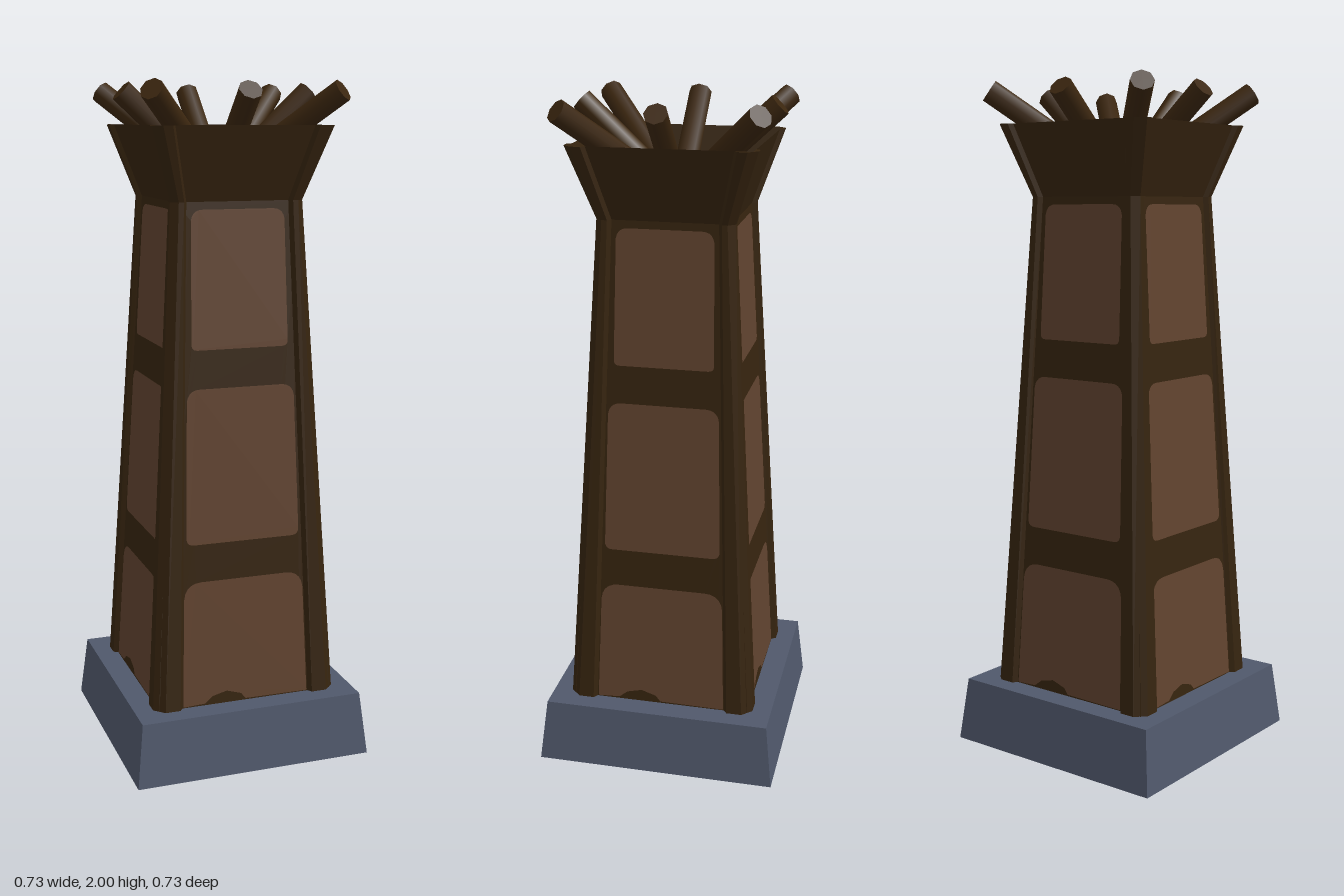
import * as THREE from 'three';

const Y0 = 0.19, Y1 = 1.67, Y2 = 1.88;      // wall foot, neck, flared rim
const W0 = 0.272, W1 = 0.186, W2 = 0.256;   // wall half-widths at those heights

const material = (name, color, side = THREE.DoubleSide) => {
  const m = new THREE.MeshStandardMaterial({ color, side });
  m.name = name;
  return m;
};

const mesh = (name, geometry, mat) => {
  const m = new THREE.Mesh(geometry, mat);
  m.name = name;
  return m;
};

// Lay a flat outline onto the sloping wall
function onWall(shape) {
  const g = new THREE.ShapeGeometry(shape);
  const p = g.attributes.position;
  for (let i = 0; i < p.count; i++) {
    p.setZ(i, W0 + (W1 - W0) * (p.getY(i) - Y0) / (Y1 - Y0));
  }
  g.computeVertexNormals();
  return g;
}

// Tapered panel outline with rounded corners and an optional notch in its foot
function panelPoints({ y0, y1, w0, w1, r0, r1, notch = [] }) {
  const s = new THREE.Shape();
  s.moveTo(-w0 + r0, y0);
  notch.forEach(([x, y]) => s.lineTo(x, y));
  s.lineTo(w0 - r0, y0);
  s.quadraticCurveTo(w0, y0, w0 - 0.002, y0 + r0);
  s.lineTo(w1 + 0.005, y1 - r1);
  s.quadraticCurveTo(w1, y1, w1 - r1, y1);
  s.lineTo(-w1 + r1, y1);
  s.quadraticCurveTo(-w1, y1, -w1 - 0.005, y1 - r1);
  s.lineTo(-w0 + 0.002, y0 + r0);
  s.quadraticCurveTo(-w0, y0, -w0 + r0, y0);
  return s.getPoints(5).slice(0, -1);
}

const PANELS = [
  { y0: 0.192, y1: 0.57, w0: 0.199, w1: 0.182, r0: 0.006, r1: 0.05,
    notch: [[-0.13, 0.195], [-0.105, 0.215], [-0.06, 0.226], [-0.015, 0.212], [0, 0.194]] },
  { y0: 0.683, y1: 1.14, w0: 0.177, w1: 0.16, r0: 0.025, r1: 0.035 },
  { y0: 1.252, y1: 1.648, w0: 0.149, w1: 0.136, r0: 0.02, r1: 0.03 },
];

// Chamfered corner post built from three cross-sections
function postGeometry() {
  const sections = [
    { y: Y0, o: 0.286, w: W0, i: 0.2, c: 0.03 },
    { y: Y1, o: 0.199, w: W1, i: 0.153, c: 0.02 },
    { y: Y2, o: 0.269, w: W2, i: 0.205, c: 0.026 },
  ].map(({ y, o, w, i, c }) => [
    [i, y, w], [i + 0.01, y, o], [o - c, y, o], [o, y, o - c], [o, y, i + 0.01], [w, y, i],
  ]);
  const v = [];
  for (let s = 0; s < 2; s++) {
    const lo = sections[s], hi = sections[s + 1];
    for (let k = 0; k < 5; k++) {
      v.push(...lo[k], ...lo[k + 1], ...hi[k + 1], ...lo[k], ...hi[k + 1], ...hi[k]);
    }
  }
  // Cap on the rim
  const top = sections[2];
  for (let k = 0; k < 5; k++) v.push(W2, Y2, W2, ...top[k], ...top[k + 1]);
  const g = new THREE.BufferGeometry();
  g.setAttribute('position', new THREE.Float32BufferAttribute(v, 3));
  g.computeVertexNormals();
  return g;
}

export function createModel() {
  const model = new THREE.Group();
  model.name = 'woodenTower';
  const stone = material('slateStone', 0x50586b);
  const darkWood = material('darkWood', 0x36240f);
  const plank = material('brownPanel', 0x61432f);
  const logWood = material('logWood', 0x3b260f, THREE.FrontSide);

  // Stone plinth: hollow tapered walls and a top ledge
  const base = new THREE.Group();
  base.name = 'base';
  let walls = new THREE.CylinderGeometry(0.342 * Math.SQRT2, 0.363 * Math.SQRT2, Y0, 4, 1, true);
  walls.rotateY(Math.PI / 4).translate(0, Y0 / 2, 0);
  walls = walls.toNonIndexed();
  walls.computeVertexNormals();
  base.add(mesh('baseWalls', walls, stone));
  const square = (h) => [[-h, -h], [h, -h], [h, h], [-h, h]].map(([x, y]) => new THREE.Vector2(x, y));
  const ledge = new THREE.Shape(square(0.342));
  ledge.holes.push(new THREE.Path(square(W0)));
  base.add(mesh('baseLedge', new THREE.ShapeGeometry(ledge).rotateX(-Math.PI / 2).translate(0, Y0, 0), stone));
  model.add(base);

  // Wall frame with the panels let into its openings
  const outlines = PANELS.map(panelPoints);
  const wall = new THREE.Shape([[-W0, Y0], [W0, Y0], [W1, Y1], [-W1, Y1]].map(([x, y]) => new THREE.Vector2(x, y)));
  outlines.forEach((pts) => wall.holes.push(new THREE.Path(pts)));
  const frameGeo = onWall(wall);
  const panelGeos = outlines.map((pts) => onWall(new THREE.Shape(pts)));

  // Flared collar above the neck
  const collarGeo = new THREE.BufferGeometry();
  collarGeo.setAttribute('position', new THREE.Float32BufferAttribute([
    -W1, Y1, W1, W1, Y1, W1, W2, Y2, W2, -W2, Y2, W2], 3));
  collarGeo.setIndex([0, 1, 2, 0, 2, 3]);
  collarGeo.computeVertexNormals();

  const postGeo = postGeometry();
  for (let k = 0; k < 4; k++) {
    const side = new THREE.Group();
    side.name = 'towerSide' + (k + 1);
    side.rotation.y = k * Math.PI / 2;
    side.add(mesh('wallFrame', frameGeo, darkWood));
    panelGeos.forEach((g, n) => side.add(mesh('wallPanel' + (n + 1), g, plank)));
    side.add(mesh('flaredCollar', collarGeo, darkWood));
    side.add(mesh('cornerPost', postGeo, darkWood));
    model.add(side);
  }

  // Eight logs fanning out from the centre
  const hub = new THREE.Vector3(0, 1.71, 0);
  const logs = new THREE.Group();
  logs.name = 'logs';
  for (let k = 0; k < 8; k++) {
    const a = k * Math.PI / 4, reach = k % 2 ? 0.392 : 0.287;
    const dir = new THREE.Vector3(Math.cos(a) * reach, 1.975 - hub.y, Math.sin(a) * reach);
    const log = mesh('log' + (k + 1), new THREE.CylinderGeometry(0.034, 0.034, dir.length(), 8), logWood);
    log.position.copy(hub).addScaledVector(dir, 0.5);
    // Turn to the bearing first, then tilt outward
    log.rotation.set(0, -a, -Math.atan2(reach, dir.y), 'YXZ');
    logs.add(log);
  }
  model.add(logs);
  return model;
}
